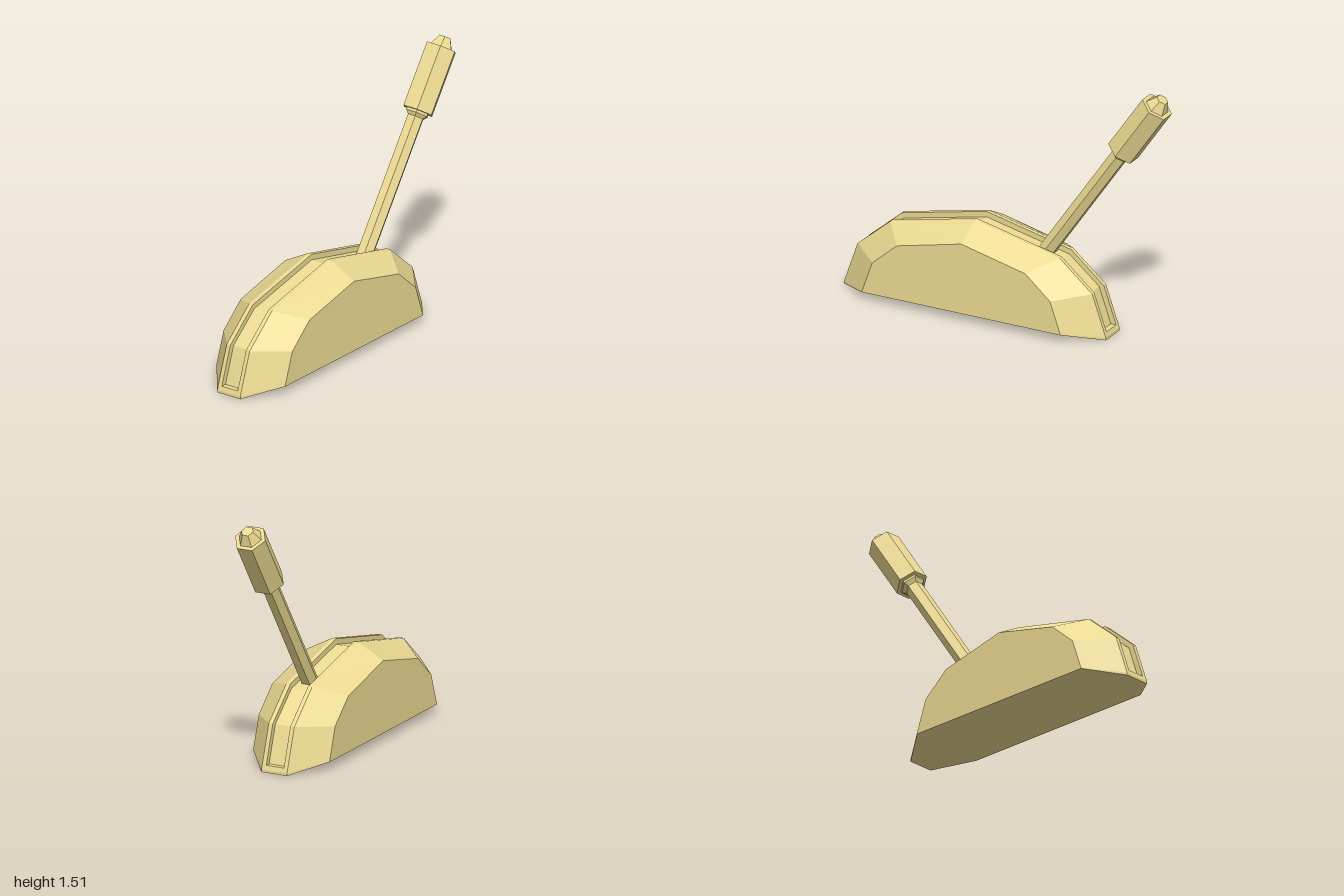
import * as THREE from 'three';

const material = new THREE.MeshStandardMaterial({ color: 0xecda92, flatShading: true });

// Arched housing: outlines at the flat sides, the rim and the slot floor, stitched across z
function housingGeometry() {
  const centreX = -0.175;
  // Half outlines [x, y], from the foot up to the crown; the repeated rim point is the slot's end wall
  const side = [[0.625, 0.05], [0.625, 0.055], [0.6185, 0.074], [0.6185, 0.074], [0.56, 0.24], [0.405, 0.375], [0, 0.47]];
  const rim = [[0.825, 0], [0.825, 0.015], [0.8165, 0.04], [0.8165, 0.04], [0.74, 0.26], [0.535, 0.435], [0, 0.555]];
  const floor = [[0.825, 0], [0.825, 0.015], [0.8165, 0.04], [0.783, 0.04], [0.71, 0.25], [0.522, 0.406], [0, 0.522]];
  const full = (half) => [...half, ...half.slice(0, -1).reverse().map(([x, y]) => [-x, y])];
  const stations = [
    [side, 0.24], [rim, 0.08], [rim, 0.055], [floor, 0.055],
    [floor, -0.055], [rim, -0.055], [rim, -0.08], [side, -0.24],
  ].map(([half, z]) => full(half).map(([x, y]) => new THREE.Vector3(x + centreX, y, z)));

  const positions = [];
  const triangle = (a, b, c) => {
    const area = b.clone().sub(a).cross(c.clone().sub(a)).length();
    if (area > 1e-7) for (const p of [a, b, c]) positions.push(p.x, p.y, p.z);
  };
  const rows = stations[0].length;
  for (let j = 0; j < stations.length - 1; j++) {
    for (let i = 0; i < rows; i++) {
      const n = (i + 1) % rows;
      const a = stations[j][i], b = stations[j + 1][i];
      const c = stations[j + 1][n], d = stations[j][n];
      triangle(a, b, c);
      triangle(a, c, d);
    }
  }
  // Flat side faces
  const front = stations[0], back = stations[stations.length - 1];
  for (let i = 1; i < rows - 1; i++) {
    triangle(front[0], front[i], front[i + 1]);
    triangle(back[0], back[i + 1], back[i]);
  }
  const geometry = new THREE.BufferGeometry();
  geometry.setAttribute('position', new THREE.Float32BufferAttribute(positions, 3));
  geometry.computeVertexNormals();
  return geometry;
}

// Six-sided turned part from a [radius, height] profile
function hexPart(name, profile) {
  const points = profile.map(([r, y]) => new THREE.Vector2(r, y));
  const mesh = new THREE.Mesh(new THREE.LatheGeometry(points, 6), material);
  mesh.name = name;
  return mesh;
}

export function createModel() {
  const model = new THREE.Group();
  model.name = 'lever';

  const housing = new THREE.Mesh(housingGeometry(), material);
  housing.name = 'slottedHousing';
  model.add(housing);

  // Tilted arm, with its origin at the bottom of the grip
  const arm = new THREE.Group();
  arm.name = 'leverArm';
  arm.add(
    hexPart('shaft', [[0, -0.9], [0.05, -0.9], [0.05, -0.035]]),
    hexPart('collar', [[0.05, -0.035], [0.07, -0.015], [0.07, 0]]),
    hexPart('grip', [[0, 0], [0.095, 0], [0.095, 0.377], [0, 0.377]]),
    hexPart('tip', [[0.07, 0.377], [0.036, 0.438], [0, 0.438]]),
  );
  arm.position.set(0.716, 1.127, 0);
  arm.rotation.z = -Math.atan2(0.567, 0.823);
  model.add(arm);

  return model;
}
